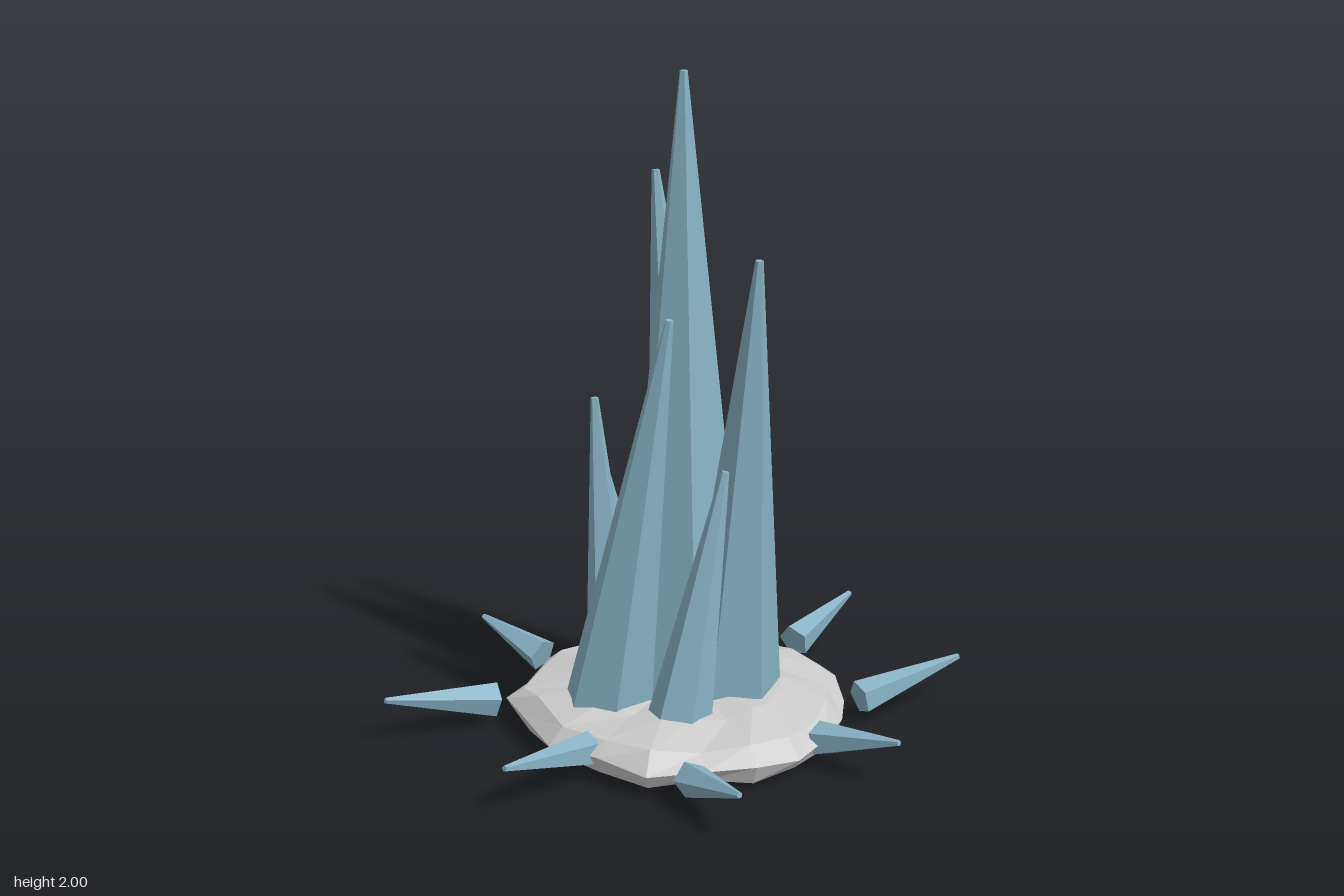
import * as THREE from 'three';

const crystalMat = new THREE.MeshStandardMaterial({ color: 0x88b2c4, flatShading: true });
const rockMat = new THREE.MeshStandardMaterial({ color: 0xcccccc, flatShading: true });

// Tapered, faceted crystal running from a base point to a tip point
function crystal(name, base, tip, radius, tipRadius, sides, twist = 0) {
  const a = new THREE.Vector3(...base);
  const axis = new THREE.Vector3(...tip).sub(a);
  const length = axis.length();
  const geo = new THREE.CylinderGeometry(tipRadius, radius, length, sides);
  geo.rotateY(twist);
  geo.translate(0, length / 2, 0);
  const mesh = new THREE.Mesh(geo, crystalMat);
  mesh.name = name;
  mesh.position.copy(a);
  mesh.quaternion.setFromUnitVectors(new THREE.Vector3(0, 1, 0), axis.normalize());
  return mesh;
}

// Flat, irregular stone: one outline lofted through scaled rings
function rockBase() {
  const outline = [
    [0.02, -0.45], [0.19, -0.43], [0.33, -0.34], [0.43, -0.24], [0.52, -0.1], [0.555, 0.04],
    [0.54, 0.19], [0.46, 0.32], [0.37, 0.46], [0.2, 0.51], [0.02, 0.545], [-0.2, 0.485],
    [-0.32, 0.455], [-0.4, 0.32], [-0.48, 0.18], [-0.485, -0.11], [-0.4, -0.23], [-0.29, -0.34],
  ];
  // scale and height of each ring, bottom to top
  const rings = [[0, 0], [0.72, 0.008], [0.95, 0.03], [1, 0.075], [0.9, 0.122], [0.6, 0.15], [0, 0.155]];
  const cx = 0.03, cz = 0.04, n = outline.length;
  const pos = [], idx = [];
  rings.forEach(([s, y], r) => {
    outline.forEach(([x, z], j) => {
      const rough = r > 1 && r < 6 ? 0.01 * Math.sin(j * 2.4 + r * 1.7) : 0;
      pos.push(cx + (x - cx) * s, y + rough, cz + (z - cz) * s);
      if (r === rings.length - 1) return;
      const k = (j + 1) % n;
      const a = r * n + j, b = r * n + k, c = a + n, d = b + n;
      if (r > 0) idx.push(a, c, b);
      if (r < rings.length - 2) idx.push(b, c, d);
    });
  });
  const geo = new THREE.BufferGeometry();
  geo.setAttribute('position', new THREE.Float32BufferAttribute(pos, 3));
  geo.setIndex(idx);
  geo.computeVertexNormals();
  const mesh = new THREE.Mesh(geo, rockMat);
  mesh.name = 'rockBase';
  return mesh;
}

export function createModel() {
  const model = new THREE.Group();
  model.name = 'crystalCluster';
  model.add(rockBase());

  // Tall cluster: base x, z, radius, then tip x, y, z, sides, twist
  const cluster = new THREE.Group();
  cluster.name = 'tallCrystals';
  [
    [0.02, 0.035, 0.22, 0.02, 2.0, 0.035, 6, 0],
    [-0.06, -0.09, 0.165, -0.235, 1.66, -0.065, 6, 0.45],
    [0.13, -0.05, 0.16, 0.29, 1.49, -0.02, 6, 0.5],
    [-0.035, 0.285, 0.14, 0.14, 1.32, 0.185, 6, 0],
    [-0.08, 0.22, 0.095, -0.13, 1.04, 0.25, 5, 0.3],
    [-0.215, 0.03, 0.1, -0.205, 0.76, 0.15, 6, 0.3],
    [0.21, 0.215, 0.1, 0.245, 0.87, 0.065, 6, 0.2],
  ].forEach(([bx, bz, r, tx, ty, tz, sides, twist], i) => {
    cluster.add(crystal(`tallCrystal${i + 1}`, [bx, 0.09, bz], [tx, ty, tz], r, 0.012, sides, twist));
  });
  model.add(cluster);

  // Ring of small shards pointing outward: base x, z, tip x, z
  const shards = new THREE.Group();
  shards.name = 'outerShards';
  [
    [-0.11, -0.525, -0.185, -0.835],
    [0.355, -0.38, 0.425, -0.73],
    [-0.395, -0.285, -0.675, -0.342],
    [0.5, -0.085, 0.775, -0.143],
    [-0.53, 0.165, -0.78, 0.216],
    [0.47, 0.38, 0.745, 0.43],
    [-0.34, 0.485, -0.41, 0.83],
    [0.13, 0.48, 0.2, 0.83],
  ].forEach(([bx, bz, tx, tz], i) => {
    shards.add(crystal(`outerShard${i + 1}`, [bx, 0.078, bz], [tx, 0.145, tz], 0.054, 0.009, 5, i * 0.7));
  });
  model.add(shards);
  return model;
}
